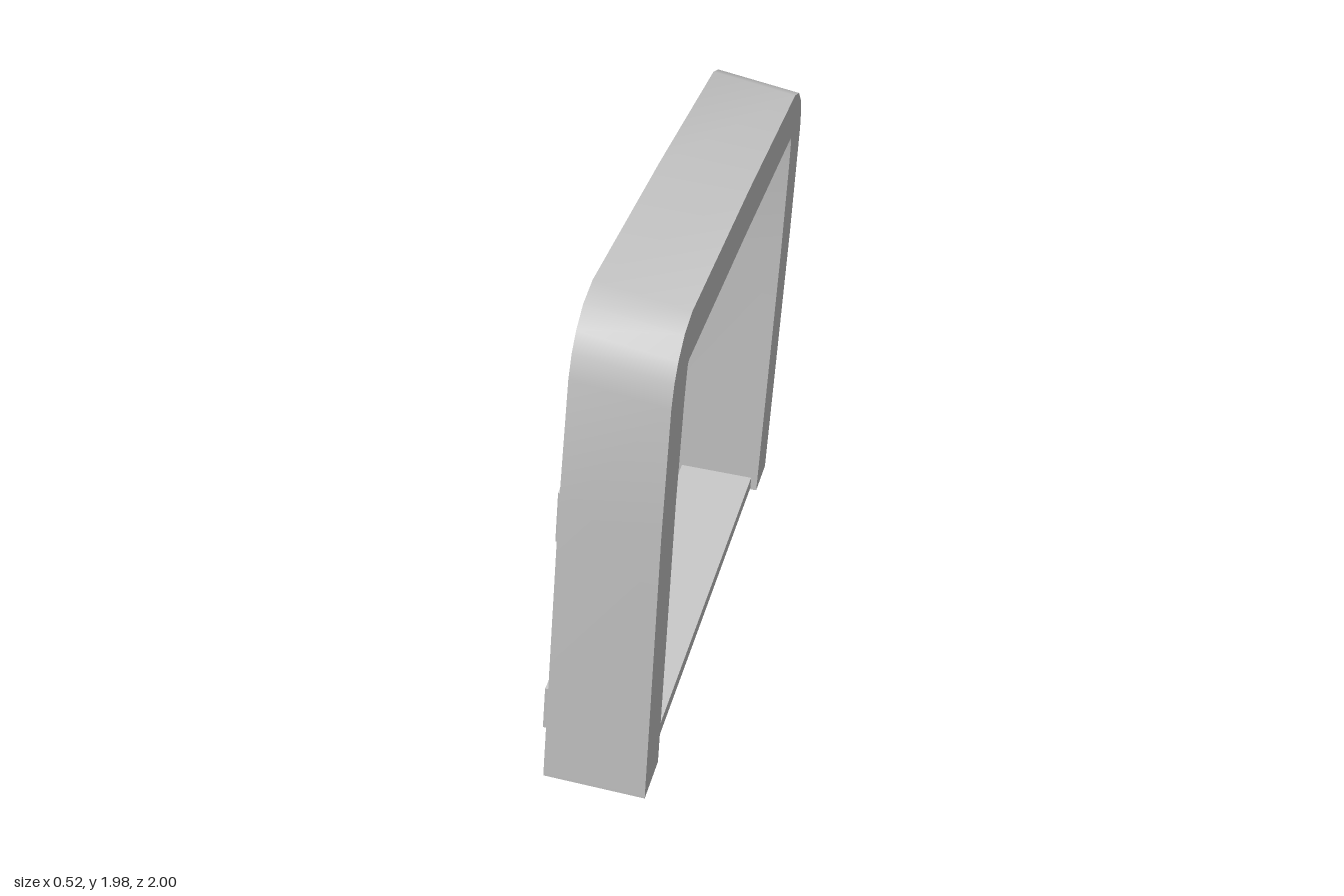
import * as THREE from 'three';
import { toCreasedNormals } from 'three/addons/utils/BufferGeometryUtils.js';

const material = new THREE.MeshStandardMaterial({ color: 0xcccccc, side: THREE.DoubleSide });
const HEIGHT = 1.91;

// Half outlines of the arch as [z, height], from foot to crown
const outerHalf = [[1, 0], [1, 1.2], [0.975, 1.68], [0.955, 1.76], [0.92, 1.82], [0.86, 1.875], [0.77, 1.905], [0, 1.915]];
const innerHalf = [[0.82, 0], [0.82, 1.2], [0.8, 1.6], [0.79, 1.69], [0.787, 1.71], [0.782, 1.724], [0.77, 1.73], [0, 1.737]];
const mirrored = half => [...half, ...half.slice(0, -1).reverse().map(([z, h]) => [-z, h])];

// x of the leaning rear plane
const rearX = y => -0.22 + 0.0875 * y;

// Leaning, tapering depth: t = 0 on the +x face, t = 1 on the -x face
function place([z, h], t) {
  const k = h / HEIGHT;
  return t ? [-0.22 + 0.17 * k, h + 0.015 + 0.045 * k, z] : [0.155 + 0.105 * k, h, z];
}

// Hollow arch with open feet, swept as four strips
function archGeometry() {
  const outer = mirrored(outerHalf), inner = mirrored(innerHalf);
  const rings = outer.map((o, i) => [place(o, 0), place(o, 1), place(inner[i], 1), place(inner[i], 0)]);
  const positions = [];
  for (let i = 0; i < rings.length - 1; i++) {
    for (let k = 0; k < 4; k++) {
      const n = (k + 1) % 4;
      const a = rings[i][k], b = rings[i][n], c = rings[i + 1][k], d = rings[i + 1][n];
      positions.push(...a, ...c, ...b, ...b, ...c, ...d);
    }
  }
  const geometry = new THREE.BufferGeometry();
  geometry.setAttribute('position', new THREE.Float32BufferAttribute(positions, 3));
  return toCreasedNormals(geometry, 0.6);
}

// Plank sheared along its length so that its ends stay upright and follow the lean
function slatGeometry({ y, height, slope, offset, thickness }) {
  const geometry = new THREE.BoxGeometry(thickness, height, 1.73);
  const p = geometry.attributes.position;
  for (let i = 0; i < p.count; i++) {
    const z = p.getZ(i);
    const py = y + p.getY(i) + slope * z;
    p.setXYZ(i, rearX(py) + offset + p.getX(i), py, z + 0.01);
  }
  geometry.computeVertexNormals();
  return geometry;
}

export function createModel() {
  const group = new THREE.Group();
  const add = (name, geometry) => {
    const mesh = new THREE.Mesh(geometry, material);
    mesh.name = name;
    group.add(mesh);
    return mesh;
  };

  add('archFrame', archGeometry());

  // Sill between the feet
  const sill = add('sill', new THREE.BoxGeometry(0.31, 0.055, 1.78));
  sill.position.set(-0.025, 0.042, 0);
  sill.rotation.z = -0.035;

  // Crooked planks nailed to the rear
  const slats = [
    { name: 'topSlat', y: 1.65, height: 0.215, slope: -0.06, offset: -0.012, thickness: 0.018 },
    { name: 'diagonalSlat', y: 1.4, height: 0.206, slope: -0.337, offset: -0.032, thickness: 0.02 },
    { name: 'upperSlat', y: 1.07, height: 0.195, slope: 0.02, offset: -0.01, thickness: 0.018 },
    { name: 'middleSlat', y: 0.76, height: 0.195, slope: 0.015, offset: -0.01, thickness: 0.018 },
    { name: 'lowerSlat', y: 0.46, height: 0.14, slope: 0.015, offset: -0.012, thickness: 0.02 },
    { name: 'bottomSlat', y: 0.25, height: 0.195, slope: -0.033, offset: -0.036, thickness: 0.025 },
  ];
  for (const slat of slats) add(slat.name, slatGeometry(slat));

  return group;
}
